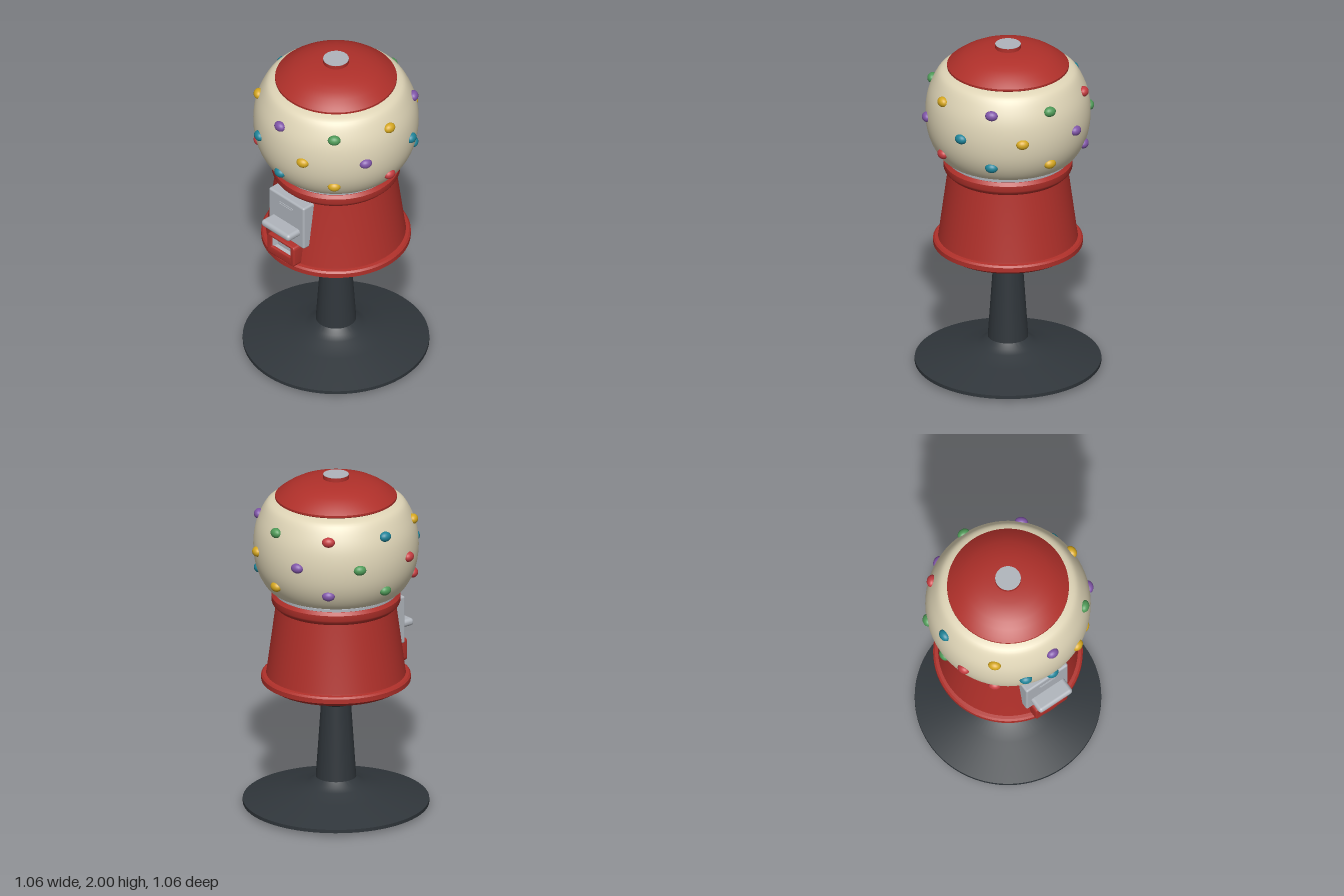
import * as THREE from 'three';
import { toCreasedNormals } from 'three/addons/utils/BufferGeometryUtils.js';
import { RoundedBoxGeometry } from 'three/addons/geometries/RoundedBoxGeometry.js';

const material = (color, side = THREE.FrontSide) => new THREE.MeshStandardMaterial({ color, side });
const red = material(0xb0302a);
const cream = material(0xe0d6b8);
const dark = material(0x30363b);
const silver = material(0xb0b5bc);
const silverThin = material(0xb0b5bc, THREE.DoubleSide);
const candyColors = {
  p: material(0x8055a8), g: material(0x4f9a58), y: material(0xd6a820),
  t: material(0x1f8499), r: material(0xc43c40),
};

const vec = ([x, y]) => new THREE.Vector2(x, y);

function add(group, name, geometry, mat, x = 0, y = 0, z = 0) {
  const mesh = new THREE.Mesh(geometry, mat);
  mesh.name = name;
  mesh.position.set(x, y, z);
  group.add(mesh);
  return mesh;
}

// Turned part from [radius, height] pairs, with sharp steps kept crisp
const turned = (points) => toCreasedNormals(new THREE.LatheGeometry(points.map(vec), 72), 0.45);

function roundedRect(path, w, h, r) {
  const x = w / 2, y = h / 2;
  path.moveTo(-x + r, -y);
  path.lineTo(x - r, -y);
  path.quadraticCurveTo(x, -y, x, -y + r);
  path.lineTo(x, y - r);
  path.quadraticCurveTo(x, y, x - r, y);
  path.lineTo(-x + r, y);
  path.quadraticCurveTo(-x, y, -x, y - r);
  path.lineTo(-x, -y + r);
  path.quadraticCurveTo(-x, -y, -x + r, -y);
  return path;
}

export function createModel() {
  const model = new THREE.Group();
  model.name = 'candyDispenser';

  // Pedestal: wide foot, tapered column and flared support
  add(model, 'pedestal', turned([
    [0, 0], [0.455, 0], [0.53, 0.02], [0.53, 0.04], [0.3, 0.1], [0.18, 0.13], [0.145, 0.15],
    [0.115, 0.175], [0.085, 0.62], [0.105, 0.645], [0.16, 0.69], [0.21, 0.71], [0.375, 0.735], [0, 0.737],
  ]), dark);

  // Tapered body with a rim at each end
  add(model, 'body', turned([
    [0.36, 0.735], [0.375, 0.733], [0.425, 0.763], [0.425, 0.79], [0.415, 0.8], [0.397, 0.803], [0.395, 0.812],
    [0.342, 1.21], [0.362, 1.23], [0.366, 1.24], [0.366, 1.272], [0.35, 1.29], [0, 1.29],
  ]), red);
  add(model, 'collar', turned([[0.33, 1.288], [0.347, 1.288], [0.347, 1.306], [0.335, 1.312], [0, 1.312]]), silver);

  // Globe
  const globeCurve = new THREE.SplineCurve([
    [0.335, 1.305], [0.385, 1.327], [0.431, 1.395], [0.46, 1.48], [0.47, 1.58],
    [0.46, 1.68], [0.431, 1.765], [0.39, 1.832], [0.335, 1.855],
  ].map(vec));
  add(model, 'globe', new THREE.LatheGeometry(globeCurve.getPoints(40), 72), cream);

  // Candies: three staggered rings, colors listed from the front towards +x
  const candies = new THREE.Group();
  candies.name = 'candies';
  model.add(candies);
  const candyGeometry = new THREE.SphereGeometry(1, 20, 14).scale(0.037, 0.029, 0.028);
  const rings = [
    { y: 1.745, radius: 0.44, shift: 0, tilt: -0.35, colors: 'pgypgrty' },
    { y: 1.58, radius: 0.468, shift: 0.5, tilt: 0, colors: 'yptypgrt' },
    { y: 1.42, radius: 0.44, shift: 0, tilt: 0.35, colors: 'tyrtypgr' },
  ];
  for (const { y, radius, shift, tilt, colors } of rings) {
    [...colors].forEach((key, i) => {
      const angle = (i + shift) * Math.PI / 4;
      const candy = add(candies, 'candy', candyGeometry, candyColors[key],
        radius * Math.sin(angle), y, radius * Math.cos(angle));
      candy.rotation.set(tilt, angle, 0, 'YXZ');
    });
  }

  // Lid and its button
  add(model, 'lid', turned([
    [0, 1.853], [0.335, 1.853], [0.346, 1.86], [0.346, 1.872], [0.325, 1.89], [0.285, 1.918], [0.245, 1.94],
    [0.195, 1.957], [0.14, 1.97], [0.07, 1.975], [0, 1.976],
  ]), red);
  add(model, 'lidKnob', new THREE.CylinderGeometry(0.073, 0.073, 0.036, 48), red, 0, 1.98, 0);
  add(model, 'knobCap', new THREE.CylinderGeometry(0.073, 0.073, 0.002, 48), silver, 0, 1.999, 0);

  // Coin plate with slot and handle
  add(model, 'coinPlate', new RoundedBoxGeometry(0.29, 0.285, 0.14, 3, 0.012), silver, 0, 1.0675, 0.322);
  const slot = roundedRect(new THREE.Shape(), 0.115, 0.019, 0.009);
  slot.holes.push(roundedRect(new THREE.Path(), 0.1, 0.007, 0.003));
  add(model, 'coinSlot', new THREE.ExtrudeGeometry(slot, { depth: 0.006, bevelEnabled: false }), silver, 0, 1.155, 0.39);
  add(model, 'handle', new RoundedBoxGeometry(0.23, 0.044, 0.115, 5, 0.02), silver, 0, 1.024, 0.426);

  // Chute: framed opening with a sloped metal recess
  const chute = new THREE.Group();
  chute.name = 'chute';
  chute.position.set(0, 0.868, 0);
  model.add(chute);
  const frame = roundedRect(new THREE.Shape(), 0.208, 0.122, 0.014);
  const opening = roundedRect(new THREE.Path(), 0.164, 0.076, 0.006);
  opening.curves.forEach((c) => ['v0', 'v1', 'v2'].forEach((k) => { if (c[k]) c[k] = c[k].clone().add(vec([0, 0.018])); }));
  frame.holes.push(opening);
  const frameGeometry = new THREE.ExtrudeGeometry(frame, {
    depth: 0.09, bevelThickness: 0.007, bevelSize: 0.006, bevelSegments: 3, curveSegments: 6,
  });
  add(chute, 'chuteFrame', toCreasedNormals(frameGeometry, 0.6), red, 0, 0, 0.338);
  const recess = new THREE.CylinderGeometry(Math.SQRT1_2 * 2, Math.SQRT1_2 * 1.5, 1, 4, 1, true)
    .rotateY(Math.PI / 4).rotateX(Math.PI / 2).scale(0.079, 0.035, 0.032).toNonIndexed();
  recess.computeVertexNormals();
  add(chute, 'chuteRecess', recess, silverThin, 0, 0.018, 0.413);
  add(chute, 'chuteBack', new THREE.BoxGeometry(0.164, 0.076, 0.02), silver, 0, 0.018, 0.388);

  return model;
}
